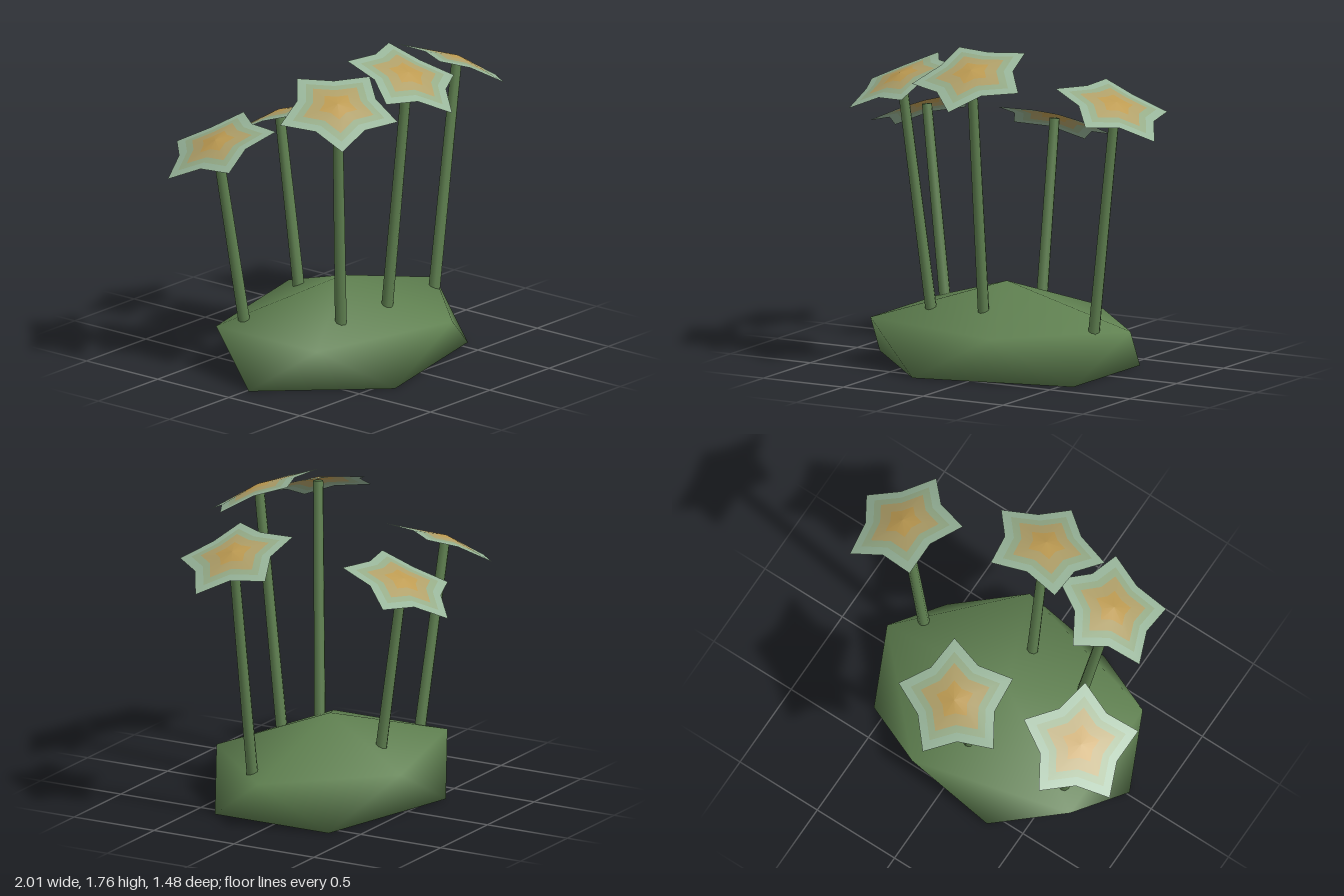
import * as THREE from 'three';

const paint = (name, color, side = THREE.FrontSide) =>
  Object.assign(new THREE.MeshStandardMaterial({ color, side }), { name });

const V = (x, y, z) => new THREE.Vector3(x, y, z);

function indexed(points, index) {
  const g = new THREE.BufferGeometry().setFromPoints(points);
  g.setIndex(index);
  g.computeVertexNormals();
  return g;
}

// Squashed icosahedron with a flat bottom
function moundGeometry() {
  const cx = -0.065, cz = 0.015;
  const ring = (y, turn) => Array.from({ length: 5 }, (_, k) => {
    const a = (k + turn) * Math.PI * 0.4;
    return V(cx + 0.785 * Math.cos(a), y, cz + 0.605 * Math.sin(a));
  });
  const points = [V(cx + 0.01, 0.465, cz), ...ring(0.26, 0), ...ring(0, 0.5), V(cx, 0, cz)];
  const index = [];
  for (let k = 0; k < 5; k++) {
    const n = (k + 1) % 5;
    const u = 1 + k, un = 1 + n, l = 6 + k, ln = 6 + n;
    index.push(0, un, u, u, un, l, un, ln, l, 11, l, ln);
  }
  return indexed(points, index);
}

// One band of a shallow, five-pointed star cone, from scale s0 to s1
function starBand(s0, s1) {
  const points = [], index = [];
  for (const s of [s0, s1]) {
    for (let i = 0; i < 10; i++) {
      const a = i * Math.PI / 5;
      const r = s * (i % 2 ? 0.225 : 0.335);
      points.push(V(r * Math.cos(a), 0.05 * (1 - r / 0.335), r * Math.sin(a)));
    }
  }
  for (let i = 0; i < 10; i++) {
    const n = (i + 1) % 10;
    index.push(i, 10 + n, 10 + i);
    if (s0 > 0) index.push(i, n, 10 + n);
  }
  return indexed(points, index);
}

// Straight stem between two points
function stemBetween(from, to, material) {
  const dir = to.clone().sub(from);
  const mesh = new THREE.Mesh(new THREE.CylinderGeometry(0.028, 0.032, dir.length(), 8), material);
  mesh.position.copy(from).add(to).multiplyScalar(0.5);
  mesh.quaternion.setFromUnitVectors(V(0, 1, 0), dir.normalize());
  mesh.name = 'stem';
  return mesh;
}

export function createModel() {
  const model = new THREE.Group();
  model.name = 'flowerMound';
  const green = paint('leafGreen', 0x5f8050);

  const mound = new THREE.Mesh(moundGeometry(), green);
  mound.name = 'mound';
  model.add(mound);

  // Petal colours from the centre outwards
  const bands = [
    ['flowerCore', 0, 0.32, paint('amber', 0xbd9b52, THREE.DoubleSide)],
    ['innerBand', 0.32, 0.6, paint('ochre', 0xb0a069, THREE.DoubleSide)],
    ['middleBand', 0.6, 0.78, paint('sage', 0x96ac88, THREE.DoubleSide)],
    ['petalTips', 0.78, 1, paint('paleGreen', 0x98b59a, THREE.DoubleSide)],
  ].map(([name, s0, s1, material]) => ({ name, material, geometry: starBand(s0, s1) }));

  // Flower centre, direction it leans in (degrees), and foot of its stem
  const flowers = [
    ['backFlower', V(-0.03, 1.255, -0.44), -87, V(-0.03, 0.34, -0.32)],
    ['backRightFlower', V(-0.73, 1.29, -0.297), -156, V(-0.59, 0.29, -0.235)],
    ['leftFlower', V(0.705, 1.505, 0.168), 13.6, V(0.565, 0.27, 0.14)],
    ['frontFlower', V(-0.025, 1.652, 0.43), 85, V(-0.03, 0.35, 0.305)],
    ['frontRightFlower', V(-0.505, 1.575, 0.35), 135, V(-0.38, 0.33, 0.27)],
  ];
  for (const [name, centre, lean, foot] of flowers) {
    const flower = new THREE.Group();
    flower.name = name;

    const head = new THREE.Group();
    head.name = 'flowerHead';
    head.position.copy(centre);
    head.rotation.set(0, -THREE.MathUtils.degToRad(lean), -THREE.MathUtils.degToRad(24));
    for (const band of bands) {
      const mesh = new THREE.Mesh(band.geometry, band.material);
      mesh.name = band.name;
      head.add(mesh);
    }

    // Stem starts inside the mound and stops just under the flower head
    head.updateMatrix();
    const top = V(0, 0.03, 0).applyMatrix4(head.matrix);
    const root = foot.clone().lerp(top, -0.05);
    flower.add(head, stemBetween(root, top, green));
    model.add(flower);
  }
  return model;
}
